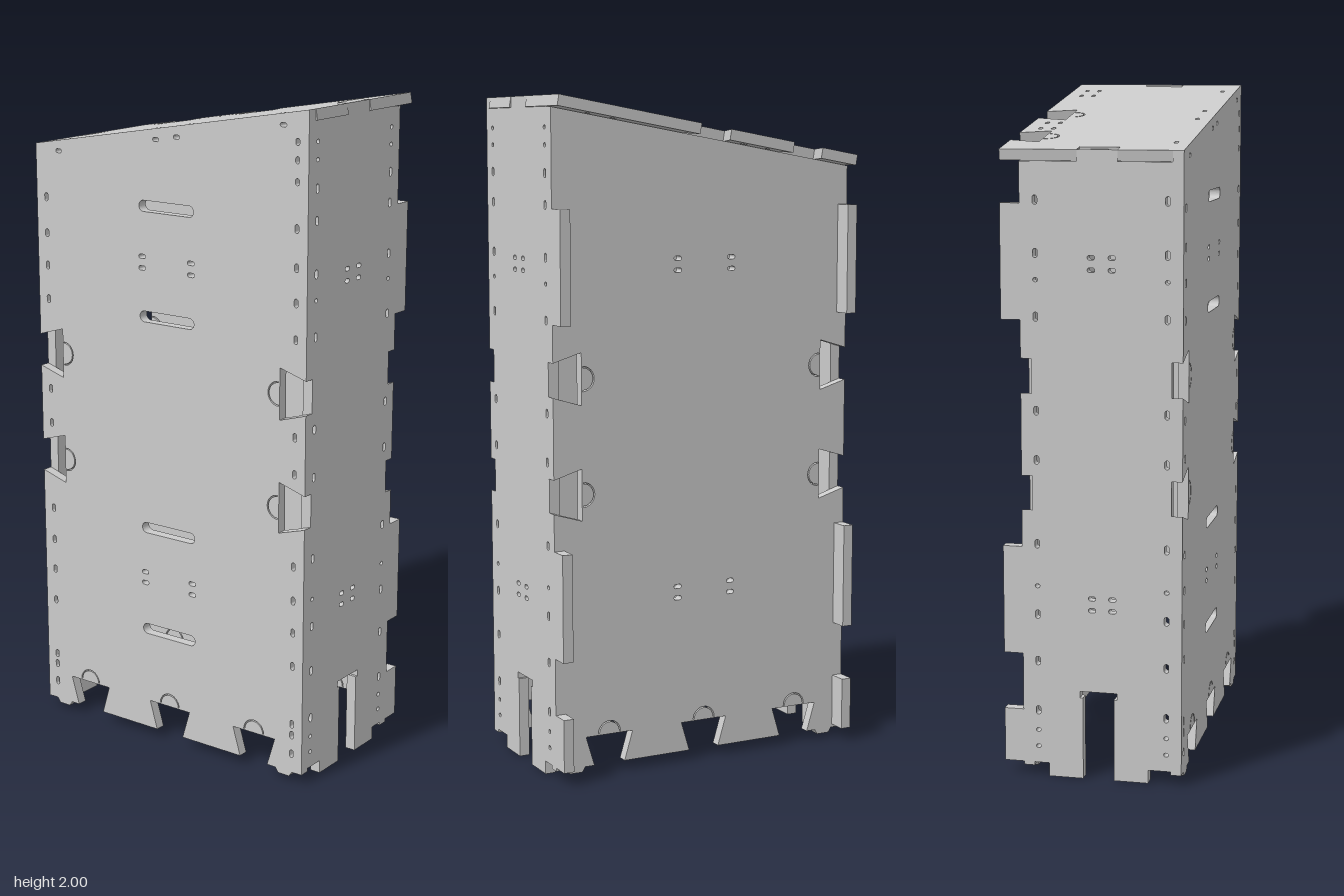
import * as THREE from 'three';

const T = 0.032;                 // sheet thickness
const W = 0.495, D = 0.264;      // half width and half depth
const BACK = -0.175;             // inner face of the back panel
const RISE = 0.17 / (2 * W);     // slope of the lid
const topAt = x => 1.915 + x * RISE;
const material = new THREE.MeshStandardMaterial({ color: 0xcccccc });

// Rounded slot centred at x, y
function slot(x, y, w, h) {
  const p = new THREE.Path(), r = Math.min(w, h) / 2;
  const a = w / 2 - r, b = h / 2 - r;
  p.absarc(x + a, y + b, r, 0, Math.PI / 2);
  p.absarc(x - a, y + b, r, Math.PI / 2, Math.PI);
  p.absarc(x - a, y - b, r, Math.PI, Math.PI * 1.5);
  p.absarc(x + a, y - b, r, Math.PI * 1.5, Math.PI * 2);
  p.closePath();
  return p;
}

// Dovetail notch in an edge running along u; the inside lies to its left
const at = (c, u, a, b) => [c[0] + u[0] * a - u[1] * b, c[1] + u[1] * a + u[0] * b];
const dovetail = (c, u) =>
  [[-0.05, 0], [-0.077, 0.09], [0.077, 0.09], [0.05, 0]].map(([a, b]) => at(c, u, a, b));

// Thin curved spring cut behind a dovetail
function springCut(c, u) {
  const pts = [];
  for (const [r, dir] of [[0.037, 1], [0.033, -1]]) {
    for (let i = 0; i <= 12; i++) {
      const t = Math.PI * (dir > 0 ? i : 12 - i) / 12;
      const [x, y] = at(c, u, r * Math.cos(t), 0.094 + r * Math.sin(t));
      pts.push(new THREE.Vector2(x, y));
    }
  }
  return new THREE.Path(pts);
}

function panel(name, outline, holes) {
  const shape = new THREE.Shape(outline.map(([x, y]) => new THREE.Vector2(x, y)));
  shape.holes = holes;
  const geometry = new THREE.ExtrudeGeometry(shape, { depth: T, bevelEnabled: false, curveSegments: 4 });
  const mesh = new THREE.Mesh(geometry, material);
  mesh.name = name;
  return mesh;
}

const SIDE_Y = [0.85, 1.19];
const BOTTOM_X = [-0.32, 0, 0.32];
const TABS = [[0.04, 0.2], [0.37, 0.69], [1.35, 1.68]];   // rear tabs of the side panels

// Front and back share their dovetails; the back is stepped around the side tabs
function widePanel(name, drop, stepped, extraHoles) {
  const holes = [...extraHoles];
  const bottom = [[-0.46, 0.03], [-0.45, 0.015], [-0.41, 0.015], [-0.4, 0.03]];
  for (const x of BOTTOM_X) {
    bottom.push(...dovetail([x, 0.03], [1, 0]));
    holes.push(springCut([x, 0.03], [1, 0]));
  }
  bottom.push([0.4, 0.03], [0.41, 0.015], [0.45, 0.015], [0.46, 0.03]);

  const edge = [[W, 0.03]];
  const steps = stepped ? TABS.map(([a, b]) => [a, [[W, a], [W - T, a], [W - T, b], [W, b]]]) : [];
  const notches = SIDE_Y.map(y => [y, dovetail([W, y], [0, 1])]);
  [...steps, ...notches].sort((p, q) => p[0] - q[0]).forEach(([, pts]) => edge.push(...pts));
  const left = edge.map(([x, y]) => [-x, y]).reverse();
  for (const y of SIDE_Y) {
    holes.push(springCut([W, y], [0, 1]), springCut([-W, y], [0, -1]));
  }
  // Central groups of four holes
  for (const x of [-0.09, 0.09]) for (const y of [0.51, 0.545, 1.495, 1.53]) {
    holes.push(slot(x, y, 0.025, 0.013));
  }
  const outline = [...bottom, ...edge, [W, topAt(W) - drop], [-W, topAt(-W) - drop], ...left];
  return panel(name, outline, holes);
}

function sidePanel(name, top) {
  const front = D - T, c = 0.018;
  const outline = [[BACK, 0.04], [-0.13, 0.04], [-0.13, 0], [c - 0.046, 0],
    // cable slot with a widened end
    [c - 0.046, 0.245], [c - 0.055, 0.245], [c - 0.055, 0.265],
    [c + 0.055, 0.265], [c + 0.055, 0.245], [c + 0.046, 0.245],
    [c + 0.046, 0], [0.166, 0], [0.166, 0.04], [front, 0.04],
    // upper edge with the lid tab
    [front, top - T], [c + 0.058, top - T], [c + 0.058, top],
    [c - 0.058, top], [c - 0.058, top - T], [BACK, top - T]];
  for (const [a, b] of [...TABS].reverse()) outline.push([BACK, b], [-D, b], [-D, a], [BACK, a]);
  const holes = [];
  for (const z of [0.219, -0.162]) {
    for (const y of [0.2, 0.35, 0.49, 0.7, 0.947, 1.09, 1.36, 1.54, 1.69]) holes.push(slot(z, y, 0.014, 0.026));
    for (const y of [0.09, 0.14, 0.575, 1.465]) holes.push(slot(z, y, 0.014, 0.012));
    if (top > 1.9) {
      holes.push(slot(z, 1.78, 0.014, 0.026));
      for (const y of [1.86, 1.91]) holes.push(slot(z, y, 0.014, 0.012));
    }
  }
  for (const z of [0, 0.06]) for (const y of [0.51, 0.545, 1.495, 1.53]) holes.push(slot(z, y, 0.022, 0.013));
  const mesh = panel(name, outline, holes);
  mesh.rotation.y = -Math.PI / 2;
  return mesh;
}

function lid() {
  const angle = Math.atan(RISE), k = 1 / Math.cos(angle);
  const L = W * k, f = D - T, n = L - 0.036;
  const outline = [[-L, -D]], holes = [];
  for (const x of [-0.322, -0.008]) {
    outline.push(...dovetail([x * k, -D], [1, 0]));
    holes.push(springCut([x * k, -D], [1, 0]));
  }
  outline.push([L, -D], [L, -0.04], [n, -0.04], [n, 0.076], [L, 0.076], [L, f],
    [-L, f], [-L, 0.076], [-n, 0.076], [-n, -0.04], [-L, -0.04]);
  for (const x of [-0.21, -0.13, 0.3, 0.38]) for (const z of [-0.217, -0.178]) {
    holes.push(slot(x * k, z, 0.022, 0.012));
  }
  for (const x of [-0.39, -0.06, 0.06, 0.38]) holes.push(slot(x * k, 0.222, 0.022, 0.012));
  const mesh = panel('slopedLid', outline, holes);
  mesh.rotation.set(Math.PI / 2, 0, angle, 'ZXY');
  mesh.position.y = topAt(0);
  return mesh;
}

export function createModel() {
  const model = new THREE.Group();
  model.name = 'panelCabinet';

  // Front holes: long hand slots, edge columns and a row below the lid
  const holes = [0.36, 0.69, 1.35, 1.68].map(y => slot(0, y, 0.2, 0.033));
  for (const x of [-0.458, 0.458]) {
    for (const y of [0.09, 0.15, 0.185, 0.37, 0.475, 0.575, 0.68, 0.96, 1.07, 1.355, 1.46, 1.56, 1.67]) {
      holes.push(slot(x, y, 0.013, 0.025));
    }
  }
  for (const y of [1.8, 1.86, 1.91]) holes.push(slot(0.458, y, 0.013, 0.02));
  for (const x of [-0.405, -0.035, 0.04, 0.41]) holes.push(slot(x, topAt(x) - 0.032, 0.022, 0.012));
  const front = widePanel('frontPanel', 0, false, holes);
  front.position.z = D - T;

  const back = widePanel('backPanel', T * 1.05, true, []);
  back.position.z = BACK - T;

  const left = sidePanel('leftSidePanel', 2);
  left.position.x = W;
  const right = sidePanel('rightSidePanel', 1.83);
  right.position.x = -W + T;

  model.add(front, back, left, right, lid());
  return model;
}
